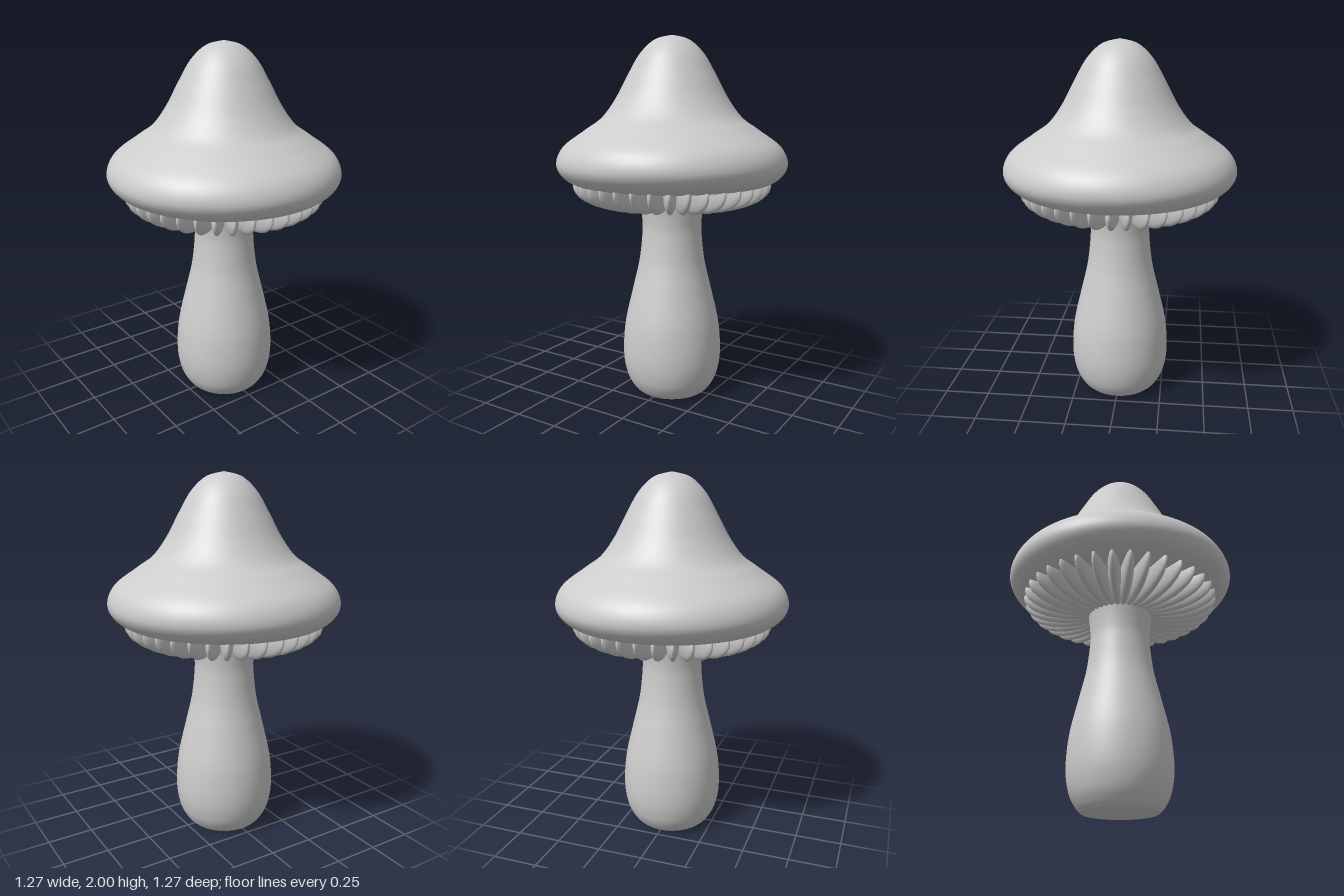
import * as THREE from 'three';

const material = new THREE.MeshStandardMaterial({ color: 0xcccccc });

function addMesh(parent, name, geometry) {
  const mesh = new THREE.Mesh(geometry, material);
  mesh.name = name;
  parent.add(mesh);
  return mesh;
}

// Smooth turned body from a few [radius, height] points, listed bottom to top
function turned(points, steps, sides) {
  const curve = new THREE.SplineCurve(points.map(([r, y]) => new THREE.Vector2(r, y)));
  const profile = curve.getPoints(steps);
  profile.forEach((p) => { p.x = Math.max(p.x, 0); });
  return new THREE.LatheGeometry(profile, sides);
}

export function createModel() {
  const model = new THREE.Group();
  model.name = 'mushroom';

  // Bell-shaped cap: underside, rolled rim, shoulder, rounded tip
  addMesh(model, 'cap', turned([
    [0, 1.2], [0.25, 1.195], [0.46, 1.19], [0.575, 1.22], [0.635, 1.3], [0.6, 1.4],
    [0.475, 1.495], [0.385, 1.56], [0.31, 1.66], [0.24, 1.79], [0.175, 1.9],
    [0.095, 1.974], [0, 2],
  ], 96, 96));

  // Stem: swollen foot, narrow neck flaring slightly into the cap
  addMesh(model, 'stem', turned([
    [0.2, 0], [0.228, 0.03], [0.262, 0.1], [0.28, 0.22], [0.267, 0.4], [0.222, 0.6],
    [0.185, 0.76], [0.167, 0.92], [0.168, 1.0], [0.18, 1.1], [0.2, 1.21],
  ], 56, 64));

  // Flat sole closing the stem
  const sole = new THREE.CircleGeometry(0.2, 64);
  sole.rotateX(Math.PI / 2);
  addMesh(model, 'stemBase', sole);

  // Ring of petal-like gills under the cap
  const gills = new THREE.Group();
  gills.name = 'gills';
  model.add(gills);
  const gill = new THREE.SphereGeometry(1, 20, 14);
  gill.rotateX(Math.PI / 2); // poles at the inner and outer tips
  gill.scale(0.037, 0.12, 0.255);
  gill.translate(0, 1.19, 0.295);
  const count = 36;
  for (let i = 0; i < count; i++) {
    addMesh(gills, 'gill', gill).rotation.y = (i / count) * Math.PI * 2;
  }

  return model;
}
